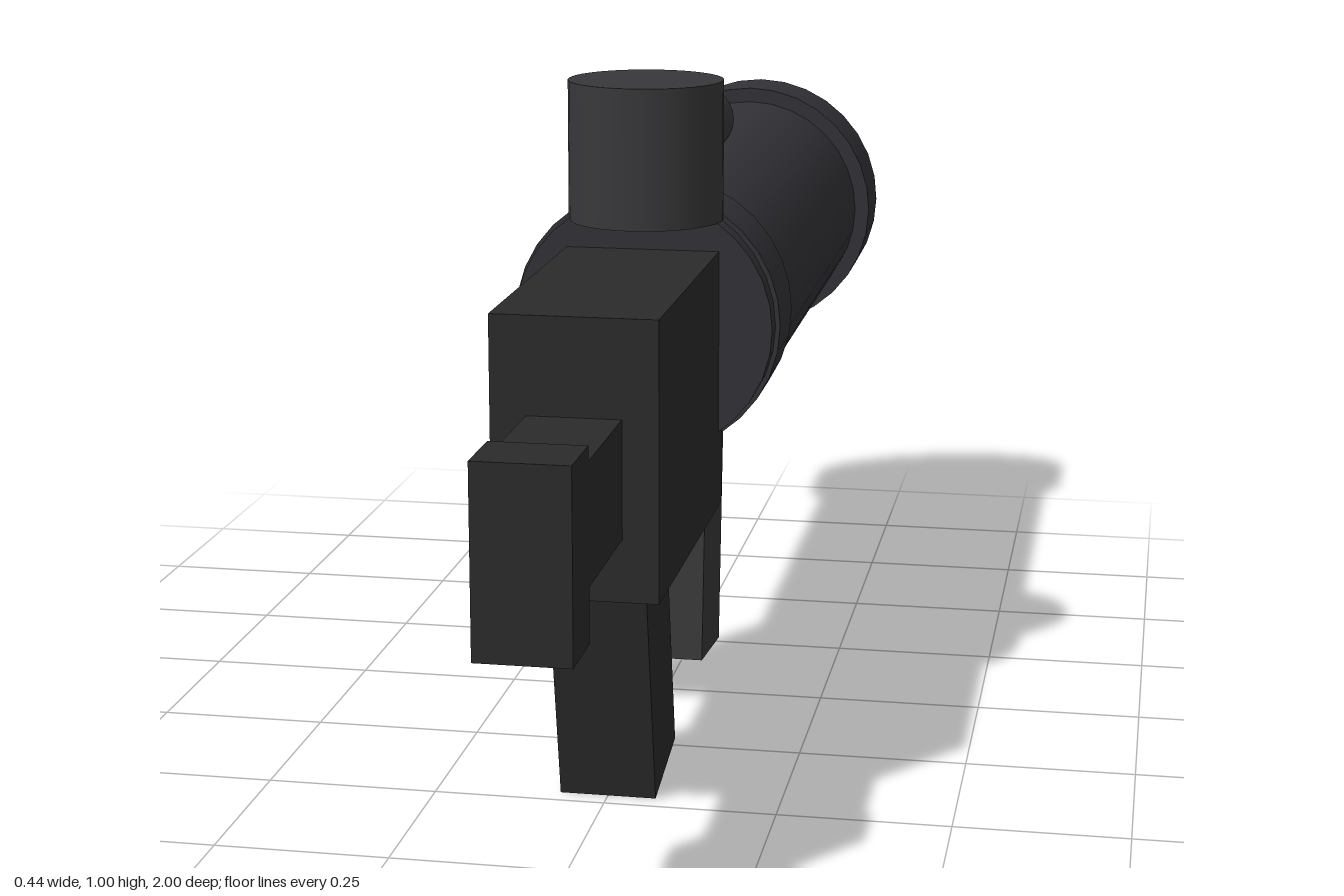
import * as THREE from 'three';

export function createModel() {
  const model = new THREE.Group();
  const mat = (color) => new THREE.MeshStandardMaterial({ color });
  const body = mat(0x2b2b2c), barrel = mat(0x323237), light = mat(0x38383a);

  const add = (name, geometry, material, x, y, z) => {
    const mesh = new THREE.Mesh(geometry, material);
    mesh.name = name;
    mesh.position.set(x, y, z);
    model.add(mesh);
    return mesh;
  };
  // Box given by full width, and y and z ranges
  const box = (name, w, y0, y1, z0, z1, m = body) =>
    add(name, new THREE.BoxGeometry(w, y1 - y0, z1 - z0), m, 0, (y0 + y1) / 2, (z0 + z1) / 2);
  // Cylinder lying along z
  const rod = (name, r, y, z0, z1, m, sides = 32) =>
    add(name, new THREE.CylinderGeometry(r, r, z1 - z0, sides).rotateX(Math.PI / 2), m, 0, y, (z0 + z1) / 2);

  // Main tube and collar
  const axisY = 0.64;
  rod('tube', 0.195, axisY, -0.9, 0.195, barrel);
  rod('collar', 0.202, axisY, 0.035, 0.16, barrel);

  // End cap: short wide ring with a shallow dished face
  const ring = new THREE.CylinderGeometry(0.22, 0.22, 0.13, 32, 1, true).rotateX(Math.PI / 2);
  add('endCap', ring, barrel, 0, axisY, -0.935);
  const shoulder = new THREE.RingGeometry(0.19, 0.22, 32);
  add('endCapShoulder', shoulder, barrel, 0, axisY, -0.87);
  const dish = new THREE.LatheGeometry(
    [new THREE.Vector2(0, 0.03), new THREE.Vector2(0.22, 0)], 32).rotateX(Math.PI / 2);
  const dishMat = mat(0x2b2b2e);
  dishMat.side = THREE.DoubleSide;
  add('endCapFace', dish, dishMat, 0, axisY, -1);

  // Receiver block and stock
  box('receiver', 0.23, 0.367, 0.757, 0.165, 0.685);
  box('stock', 0.13, 0.455, 0.62, 0.68, 0.905);
  box('buttPlate', 0.13, 0.38, 0.64, 0.9, 1);

  // Upright drum, rear notch and top sight
  add('drum', new THREE.CylinderGeometry(0.115, 0.115, 0.207, 32), light, 0, 0.902, 0.165);
  box('sightNotch', 0.05, 0.8, 0.875, -0.03, 0.08);
  rod('sight', 0.055, 0.88, -0.32, -0.19, light, 24);
  rod('sightLens', 0.047, 0.88, -0.342, -0.31, light, 24);

  // Slanted grips
  const rearGrip = add('rearGrip', new THREE.BoxGeometry(0.14, 0.42, 0.164), body, 0, 0.226, 0.433);
  rearGrip.rotation.x = 0.207;
  const foreGrip = add('foreGrip', new THREE.BoxGeometry(0.14, 0.362, 0.168), light, 0, 0.251, -0.031);
  foreGrip.rotation.x = -0.1;

  // Trigger guard: half loop hanging below the receiver
  const guard = new THREE.TorusGeometry(0.062, 0.012, 8, 20, Math.PI).rotateZ(Math.PI).rotateY(Math.PI / 2);
  add('triggerGuard', guard, body, 0, 0.376, 0.273);

  return model;
}
